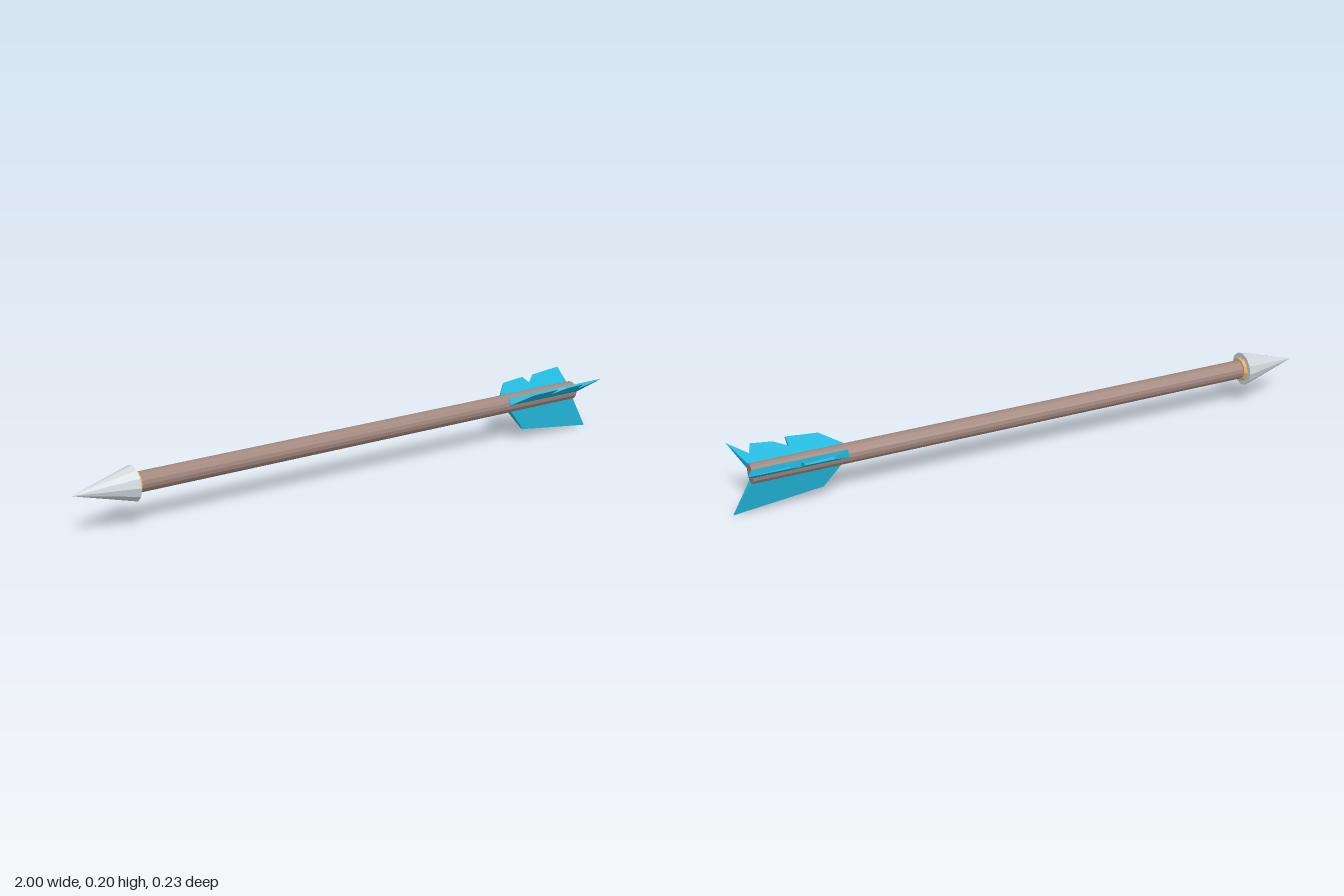
import * as THREE from 'three';

const material = (color, flatShading = true) => new THREE.MeshStandardMaterial({ color, flatShading });

export function createModel() {
  const arrow = new THREE.Group();
  arrow.name = 'arrow';
  const wood = material(0xa1887f);
  const steel = material(0xcfd8dc);
  const binding = material(0xe0b070);
  const feather = material(0x22b8dc);

  // Round part lying along x, from x0 (radius r0) to x1 (radius r1)
  function rod(name, x0, x1, r0, r1, sides, mat) {
    const geo = new THREE.CylinderGeometry(r0, r1, x1 - x0, sides);
    geo.rotateZ(Math.PI / 2);
    const mesh = new THREE.Mesh(geo, mat);
    mesh.position.set((x0 + x1) / 2, 0.137, 0.004);
    mesh.name = name;
    arrow.add(mesh);
  }
  rod('arrowhead', -1, -0.8, 0, 0.057, 12, steel);
  rod('collar', -0.81, -0.788, 0.04, 0.04, 10, binding);
  rod('shaft', -0.8, 0.94, 0.032, 0.032, 16, wood);

  // Vane: outline in (x, radius), wedge-shaped, thick at the root and sharp at the rim
  function vane(name, outline, angle, lean) {
    const shape = new THREE.Shape(outline.map(([x, r]) => new THREE.Vector2(x, r)));
    const geo = new THREE.ExtrudeGeometry(shape, { depth: 2, bevelEnabled: false });
    geo.translate(0, 0, -1);
    const tip = Math.max(...outline.map((p) => p[1]));
    const pos = geo.attributes.position;
    for (let i = 0; i < pos.count; i++) {
      const t = pos.getY(i) / tip;
      pos.setZ(i, pos.getZ(i) * (0.0005 + 0.016 * (1 - t)) + lean * t);
    }
    geo.computeVertexNormals();
    const mesh = new THREE.Mesh(geo, feather);
    mesh.rotation.x = angle;
    mesh.position.set(0, 0.136, 0.005);
    mesh.name = name;
    arrow.add(mesh);
  }

  const plain = [[0.64, 0.02], [0.655, 0.03], [0.71, 0.1], [1, 0.136], [0.94, 0.03], [0.94, 0.02]];
  const notched = [[0.63, 0.02], [0.635, 0.033], [0.7, 0.099], [0.798, 0.111], [0.798, 0.073],
    [0.845, 0.112], [0.978, 0.129], [0.94, 0.03], [0.94, 0.02]];
  const twiceNotched = [[0.63, 0.02], [0.635, 0.033], [0.695, 0.093], [0.798, 0.104], [0.798, 0.065],
    [0.84, 0.095], [0.91, 0.106], [0.92, 0.065], [0.978, 0.126], [0.94, 0.03], [0.94, 0.02]];
  vane('bottomVane', plain, Math.PI, -0.012);
  vane('frontVane', twiceNotched, 1.06, 0);
  vane('backVane', notched, -1.13, 0);
  return arrow;
}
